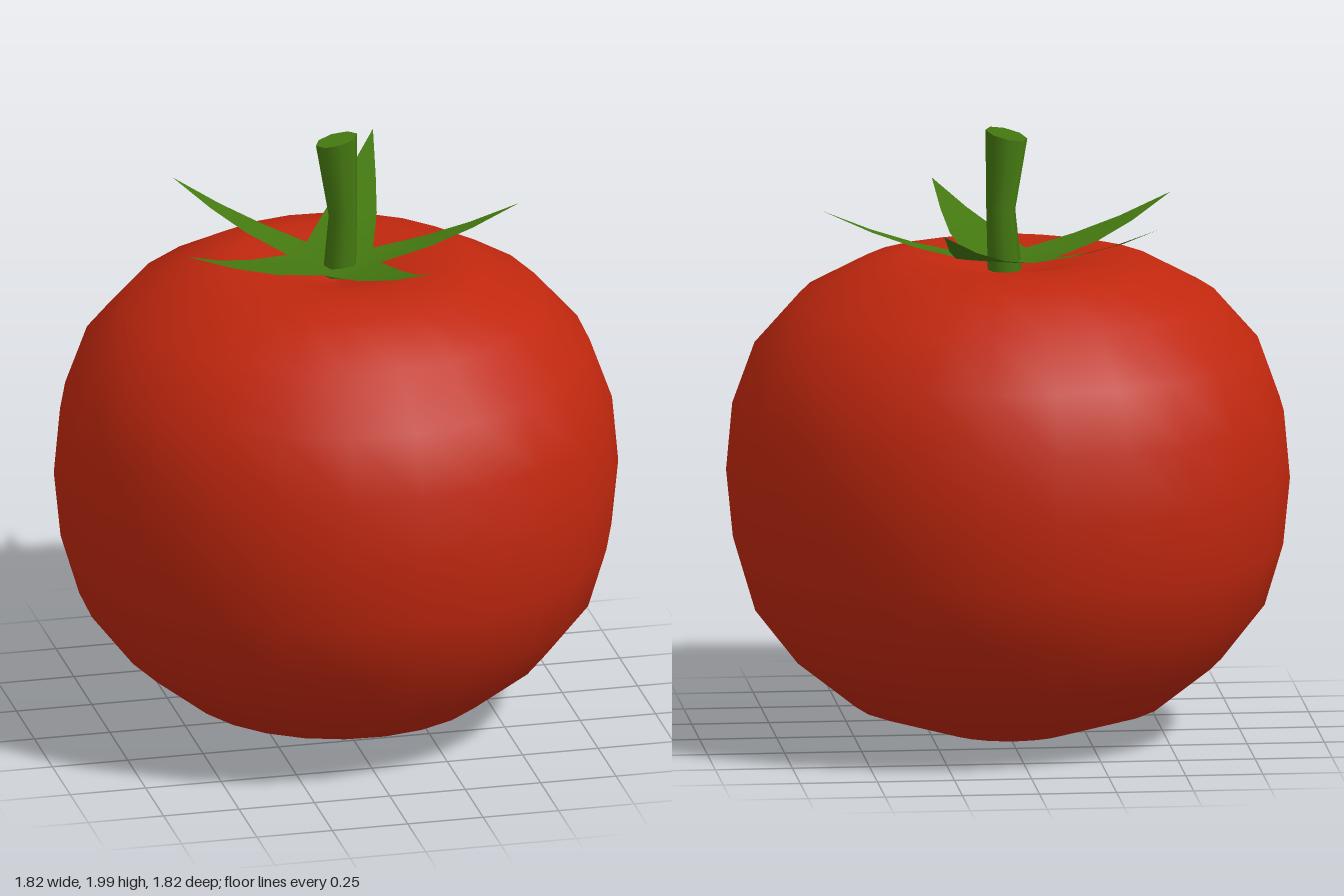
import * as THREE from 'three';
import { mergeVertices } from 'three/addons/utils/BufferGeometryUtils.js';

const red = new THREE.MeshStandardMaterial({ color: 0xc0270e });
red.name = 'tomato red';
const green = new THREE.MeshStandardMaterial({ color: 0x447810, side: THREE.DoubleSide });
green.name = 'leaf green';

// Round fruit with a shallow dip at the top
function fruit() {
  const profile = [
    [0, 0.005], [0.21, 0.02], [0.5, 0.11], [0.69, 0.26], [0.83, 0.44], [0.89, 0.64],
    [0.912, 0.86], [0.892, 1.08], [0.82, 1.28], [0.675, 1.445], [0.48, 1.55],
    [0.32, 1.585], [0.15, 1.54], [0, 1.5],
  ].map(([r, y]) => new THREE.Vector2(r, y));
  return new THREE.LatheGeometry(profile, 24, THREE.MathUtils.degToRad(5));
}

// Height of the upward-curving leaves at a distance from the centre
const leafHeight = (r) => 1.553 + 0.12 * r + 0.29 * r * r;

// Five-pointed star of thin leaves; leaf i lies between valleys i and i + 1
function calyx() {
  const tips = [[0.27, -0.62], [0.6, 0.03], [0.19, 0.56], [-0.55, 0.235], [-0.44, -0.43]];
  const valleys = [[-0.06, -0.16], [0.14, -0.07], [0.135, 0.055], [-0.07, 0.125], [-0.145, -0.07]];
  const rows = [[0, 1], [0.35, 0.76], [0.66, 0.42], [1, 0]]; // distance along leaf, width
  const positions = [];
  const add = (...points) => points.forEach(([x, z]) => positions.push(x, leafHeight(Math.hypot(x, z)), z));

  tips.forEach((tip, i) => {
    const a = valleys[i], b = valleys[(i + 1) % 5];
    const mid = [(a[0] + b[0]) / 2, (a[1] + b[1]) / 2];
    const edge = (valley, [t, w]) =>
      [0, 1].map((k) => mid[k] + (tip[k] - mid[k]) * t + (valley[k] - mid[k]) * w);
    add([0, 0], b, a);
    for (let j = 0; j < 3; j++) {
      const l0 = edge(a, rows[j]), r0 = edge(b, rows[j]);
      const l1 = edge(a, rows[j + 1]), r1 = edge(b, rows[j + 1]);
      add(l0, r0, r1);
      if (j < 2) add(l0, r1, l1);
    }
  });
  let geometry = new THREE.BufferGeometry();
  geometry.setAttribute('position', new THREE.Float32BufferAttribute(positions, 3));
  geometry = mergeVertices(geometry, 1e-4);
  geometry.computeVertexNormals();
  return geometry;
}

// Leaning stalk, pinched in the middle, with a slanted cut
function stalk() {
  const sections = [ // y, centre x, centre z, radius
    [1.53, 0.01, 0.005, 0.055], [1.73, 0.024, -0.005, 0.047], [1.982, 0.008, -0.027, 0.068],
  ];
  const geometry = new THREE.CylinderGeometry(1, 1, 2, 8, 2);
  const p = geometry.attributes.position;
  for (let i = 0; i < p.count; i++) {
    const level = Math.round(p.getY(i)) + 1;
    const [y, cx, cz, r] = sections[level];
    const x = p.getX(i) * r, z = p.getZ(i) * r;
    const slant = level === 2 ? 0.23 * x + 0.1 * z : 0;
    p.setXYZ(i, cx + x, y + slant, cz + z);
  }
  return geometry;
}

export function createModel() {
  const model = new THREE.Group();
  model.name = 'tomato';
  const part = (name, geometry, material) => {
    const mesh = new THREE.Mesh(geometry, material);
    mesh.name = name;
    model.add(mesh);
  };
  part('fruit', fruit(), red);
  part('calyxLeaves', calyx(), green);
  part('stalk', stalk(), green);
  return model;
}
